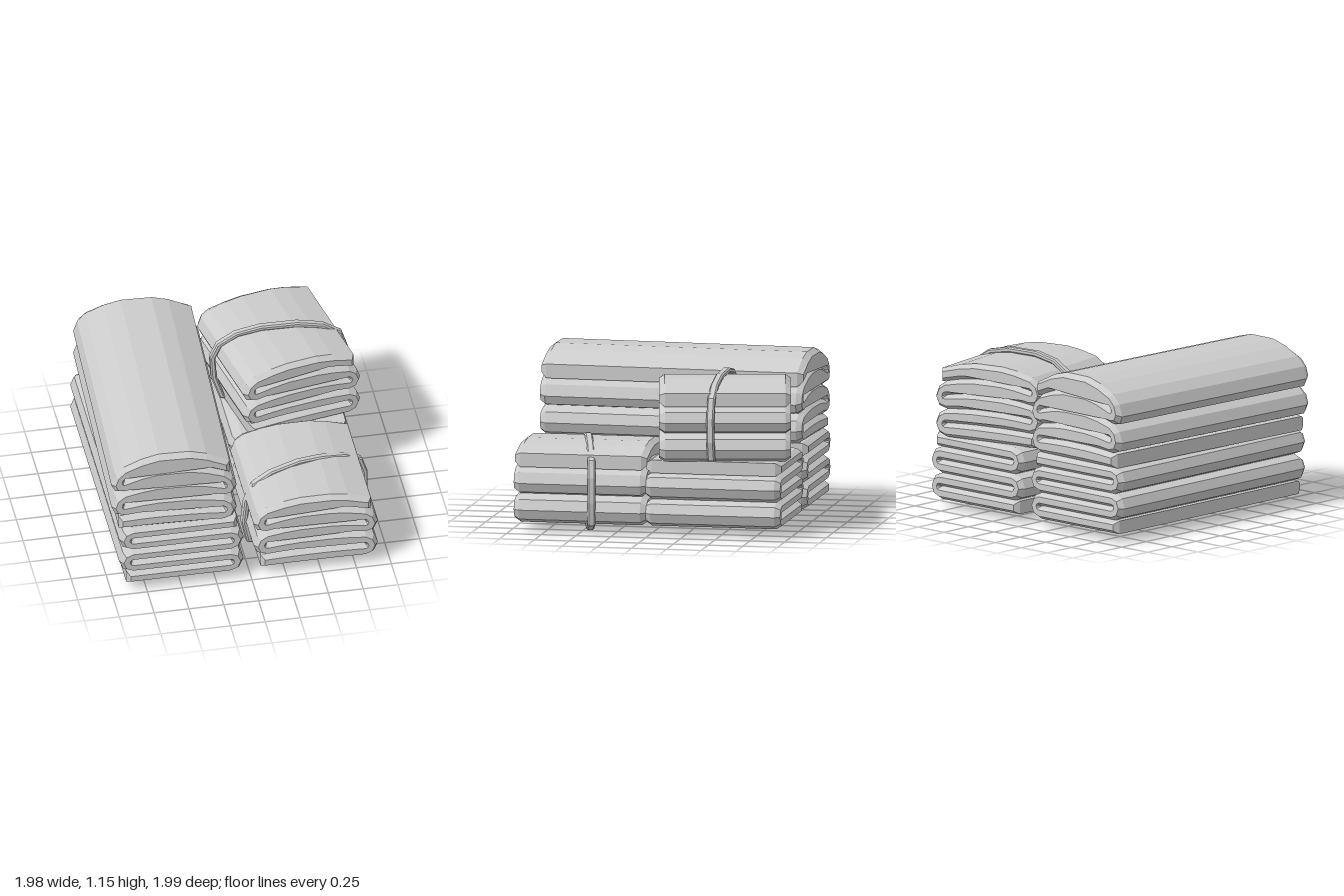
import * as THREE from 'three';

const LAYERS = 5, PITCH = 0.095, HALF = 0.022, BEVEL = 0.025, RUN = 0.35, FREE = 0.37;
const BASE = HALF + BEVEL;
const material = new THREE.MeshStandardMaterial({ color: 0xcccccc, flatShading: true, side: THREE.DoubleSide });

// Zigzag cross-section of a cloth folded into layers
function foldedShape() {
  const left = [], right = [];
  const add = (x, y, nx, ny) => {
    left.push(new THREE.Vector2(x + nx * HALF, y + ny * HALF));
    right.push(new THREE.Vector2(x - nx * HALF, y - ny * HALF));
  };
  for (let i = 0; i < LAYERS; i++) {
    const dir = i % 2 ? -1 : 1, y = BASE + i * PITCH;
    if (i === 0) add(-FREE, y, 0, 1);
    for (const x of [-0.23, -0.11, 0.11, 0.23]) add(x * dir, y, 0, dir);
    if (i === LAYERS - 1) { add(FREE, y, 0, 1); break; }
    // rounded fold up to the next layer
    for (let k = 0; k <= 4; k++) {
      const a = -Math.PI / 2 + (k * Math.PI) / 4;
      const c = Math.cos(a) * dir, s = Math.sin(a);
      add(RUN * dir + (c * PITCH) / 2, y + PITCH / 2 + (s * PITCH) / 2, -c * dir, -s * dir);
    }
  }
  return new THREE.Shape([...left, ...right.reverse()]);
}

// Folded bundle; swell raises the middle into an arch
function bundle(name, length, swell, [x, y, z], turn = 0) {
  const depth = length - 0.08;
  const geo = new THREE.ExtrudeGeometry(foldedShape(), {
    depth, bevelEnabled: true, bevelSegments: 1, bevelSize: BEVEL, bevelThickness: 0.04, steps: 1,
  });
  geo.translate(0, 0, -depth / 2);
  const p = geo.attributes.position;
  for (let i = 0; i < p.count; i++) {
    const u = Math.min(1, Math.abs(p.getX(i)) / 0.445);
    p.setY(i, p.getY(i) * (1 + swell * (1 - u * u)));
  }
  geo.computeVertexNormals();
  const mesh = new THREE.Mesh(geo, material);
  mesh.name = name;
  mesh.position.set(x, y, z);
  mesh.rotation.y = turn;
  return mesh;
}

// Flat band following a closed loop, chamfered on both edges
function strap(name, loop, cx, cy, z, turn) {
  const bevel = 0.01;
  const inset = (d) => loop.map(([x, y]) => {
    const v = new THREE.Vector2(x - cx, y - cy);
    return v.setLength(v.length() - d);
  });
  const shape = new THREE.Shape(inset(bevel));
  shape.holes.push(new THREE.Path(inset(0.03)));
  const geo = new THREE.ExtrudeGeometry(shape, {
    depth: 0.035, bevelEnabled: true, bevelSegments: 1, bevelSize: bevel, bevelThickness: bevel,
  });
  geo.translate(0, 0, -0.0175);
  const mesh = new THREE.Mesh(geo, material);
  mesh.name = name;
  mesh.position.set(cx, cy, z);
  mesh.rotation.y = turn;
  return mesh;
}

export function createModel() {
  const group = new THREE.Group();
  group.name = 'foldedClothStacks';

  // Long stack
  group.add(bundle('longLowerBundle', 1.92, 0, [-0.495, 0.06, 0.015]));
  group.add(bundle('longUpperBundle', 1.9, 0.32, [-0.51, 0.53, 0.02], -0.04));

  // Short stacks
  group.add(bundle('frontBundle', 0.95, 0.2, [0.47, 0.06, 0.495]));
  group.add(bundle('backLowerBundle', 0.97, 0, [0.47, 0.06, -0.46]));
  group.add(bundle('backUpperBundle', 0.93, 0.18, [0.47, 0.53, -0.465], 0.2));

  // Straps
  group.add(strap('frontStrap', [
    [0.02, 0.06], [0.2, 0], [0.73, 0], [0.92, 0.06], [0.95, 0.22], [0.95, 0.4], [0.91, 0.52],
    [0.78, 0.59], [0.6, 0.63], [0.42, 0.645], [0.2, 0.615], [0.06, 0.55], [0, 0.42], [-0.02, 0.24],
  ], 0.465, 0.31, 0.515, 0.24));
  group.add(strap('backStrap', [
    [0.04, 0.54], [0.25, 0.515], [0.72, 0.515], [0.92, 0.55], [0.96, 0.68], [0.965, 0.85], [0.92, 0.99],
    [0.79, 1.075], [0.6, 1.12], [0.33, 1.125], [0.15, 1.09], [0.02, 1.01], [-0.03, 0.9], [-0.02, 0.72],
  ], 0.47, 0.81, -0.45, 0.01));
  return group;
}
